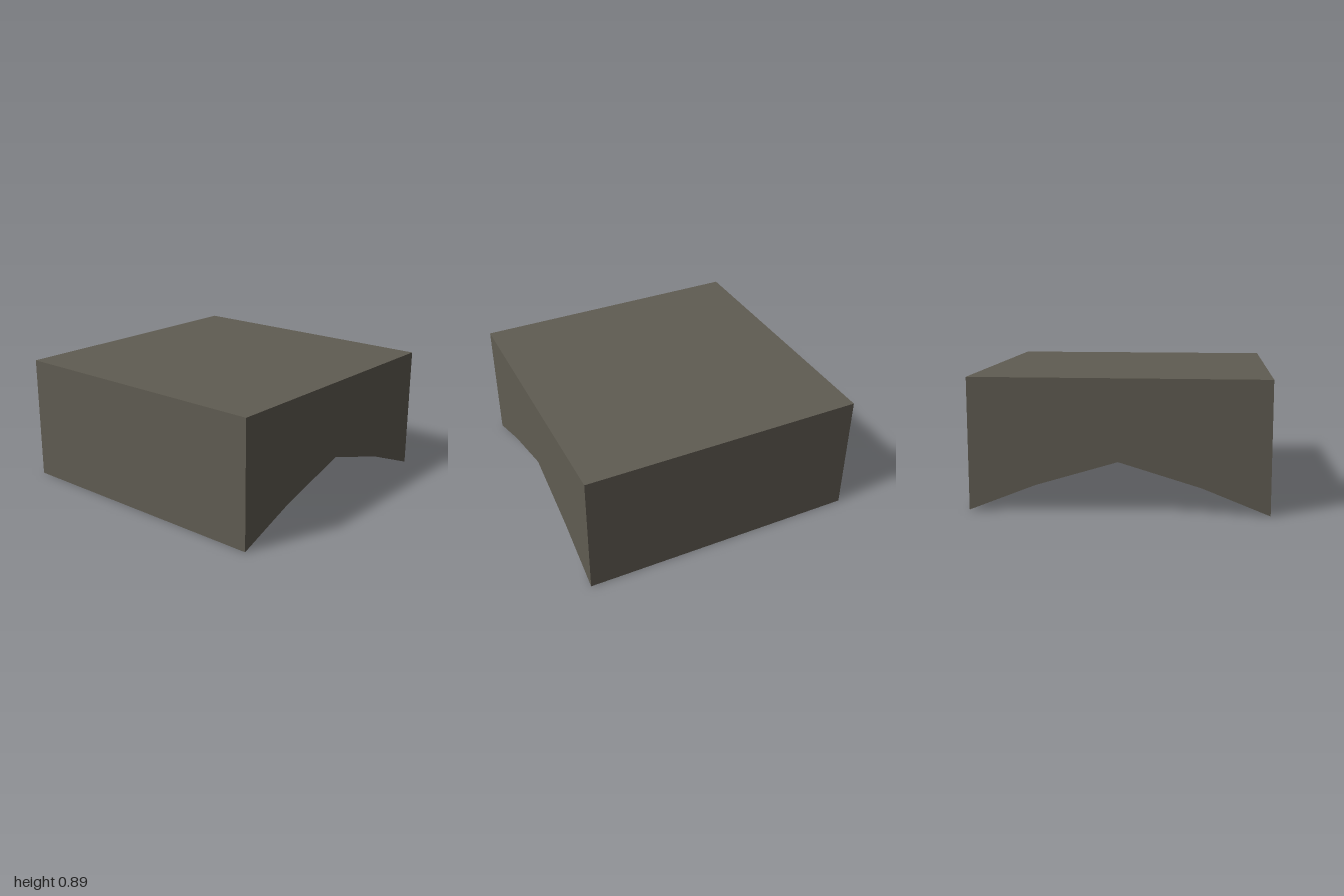
import * as THREE from 'three';

export function createModel() {
  const group = new THREE.Group();
  const stone = new THREE.MeshStandardMaterial({ color: 0x605c52 });
  stone.name = 'stone';

  // Side profile: flat deck, straight ends, shallow pointed arch below
  const half = [[1, 0], [0.55, 0.178]];
  const profile = new THREE.Shape([
    [-1, 0.895],
    ...half.map(([z, y]) => [-z, y]),
    [0, 0.343],
    ...half.reverse(),
    [1, 0.895],
  ].map(([z, y]) => new THREE.Vector2(z, y)));

  // Extrude across the full width, then turn the profile to run along z
  const geometry = new THREE.ExtrudeGeometry(profile, { depth: 2, bevelEnabled: false });
  geometry.translate(0, 0, -1);
  geometry.rotateY(Math.PI / 2);

  const block = new THREE.Mesh(geometry, stone);
  block.name = 'archedBlock';
  group.add(block);
  return group;
}
